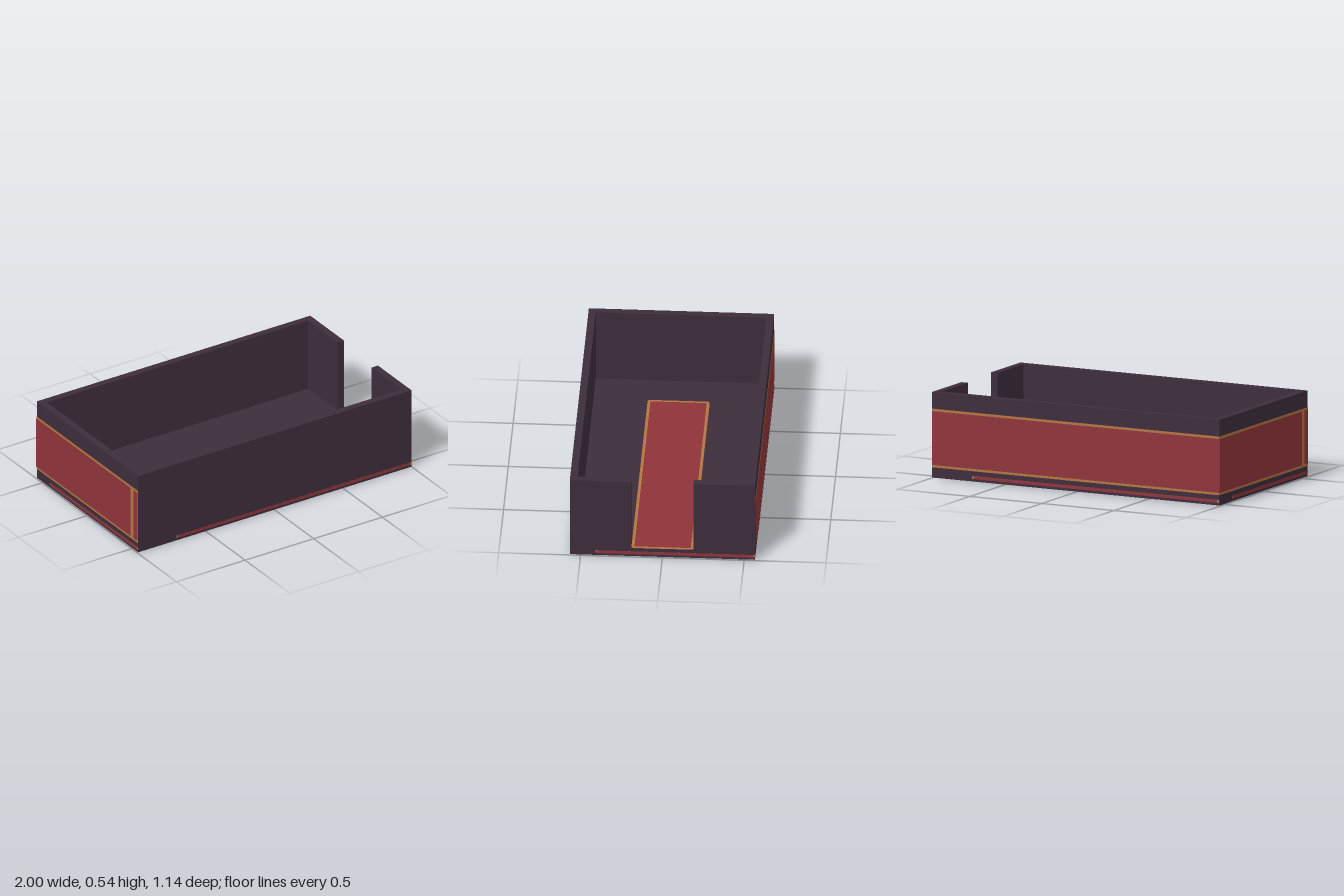
import * as THREE from 'three';

const X = 0.996, Z = 0.566;          // half sizes of the outer walls
const FLOOR = 0.06, TOP = 0.535, T = 0.045, NOTCH = 0.19;
const BASE = 0.004, STEP = 0.002;    // plate offsets from the surface

export function createModel() {
  const model = new THREE.Group();
  const mat = (name, color) => {
    const m = new THREE.MeshStandardMaterial({ color });
    m.name = name;
    return m;
  };
  const plum = mat('dark plum', 0x3d2d3c);
  const red = mat('carpet red', 0x8f343a);
  const gold = mat('border gold', 0xb37440);

  // box between two corners
  const box = (name, x0, x1, y0, y1, z0, z1) => {
    const mesh = new THREE.Mesh(new THREE.BoxGeometry(x1 - x0, y1 - y0, z1 - z0), plum);
    mesh.name = name;
    mesh.position.set((x0 + x1) / 2, (y0 + y1) / 2, (z0 + z1) / 2);
    model.add(mesh);
  };

  // flat rectangle, optionally with rounded corners, facing local +z
  const plate = (parent, name, material, u0, u1, v0, v1, layer, r = 0) => {
    const s = new THREE.Shape();
    if (r) {
      s.moveTo(u0 + r, v0);
      s.lineTo(u1 - r, v0).quadraticCurveTo(u1, v0, u1, v0 + r);
      s.lineTo(u1, v1 - r).quadraticCurveTo(u1, v1, u1 - r, v1);
      s.lineTo(u0 + r, v1).quadraticCurveTo(u0, v1, u0, v1 - r);
      s.lineTo(u0, v0 + r).quadraticCurveTo(u0, v0, u0 + r, v0);
    } else {
      s.moveTo(u0, v0).lineTo(u1, v0).lineTo(u1, v1).lineTo(u0, v1);
    }
    const mesh = new THREE.Mesh(new THREE.ShapeGeometry(s, 4), material);
    mesh.name = name;
    mesh.position.z = layer * STEP;
    parent.add(mesh);
  };

  const face = (name, rx, ry, x, y, z) => {
    const g = new THREE.Group();
    g.name = name;
    g.rotation.set(rx, ry, 0);
    g.position.set(x, y, z);
    model.add(g);
    return g;
  };

  // floor slab and walls, with a doorway in the +x wall
  box('floor', -X, X, BASE, FLOOR, -Z, Z);
  box('frontWall', -X, X, FLOOR, TOP, Z - T, Z);
  box('backWall', -X, X, FLOOR, TOP, -Z, -Z + T);
  box('rightWall', -X, -X + T, FLOOR, TOP, -Z + T, Z - T);
  box('doorWallFront', X - T, X, FLOOR, TOP, NOTCH, Z - T);
  box('doorWallBack', X - T, X, FLOOR, TOP, -Z + T, -NOTCH);

  // carpet running out through the doorway
  const carpet = face('carpet', -Math.PI / 2, 0, 0, FLOOR, 0);
  plate(carpet, 'carpetBorder', gold, -0.72, X, -0.19, 0.19, 1, 0.02);
  plate(carpet, 'carpetField', red, -0.70, X - 0.016, -0.172, 0.172, 2, 0.01);

  // panel under the floor
  const under = face('undersidePanel', Math.PI / 2, 0, 0, BASE, 0);
  plate(under, 'undersideBorder', gold, -0.333, 0.333, -Z, 0.405, 1);
  plate(under, 'undersideField', red, -0.303, 0.303, -Z + 0.01, 0.394, 2);

  // side faces: thin stripe round the slab, wide bands on the back and -x walls
  const sides = [
    ['front', 0, X, 0, Z],
    ['doorSide', Math.PI / 2, Z, X, 0],
    ['back', Math.PI, X, 0, -Z],
    ['closedSide', -Math.PI / 2, Z, -X, 0],
  ];
  for (const [name, angle, half, x, z] of sides) {
    const g = face(name + 'Trim', 0, angle, x, 0, z);
    plate(g, 'stripeEnds', gold, -0.72 * half, half, 0.021, 0.039, 1);
    plate(g, 'stripe', red, -0.71 * half, half * 0.985, 0.02, 0.04, 2);
    if (name === 'back' || name === 'closedSide') {
      plate(g, 'bandBorder', gold, -half, half, 0.068, 0.432, 1);
      const split = name === 'closedSide';
      plate(g, 'band', red, -half, split ? 0.488 : half, 0.083, 0.417, 2);
      if (split) plate(g, 'bandEnd', red, 0.519, half, 0.083, 0.417, 2);
    }
  }
  return model;
}
